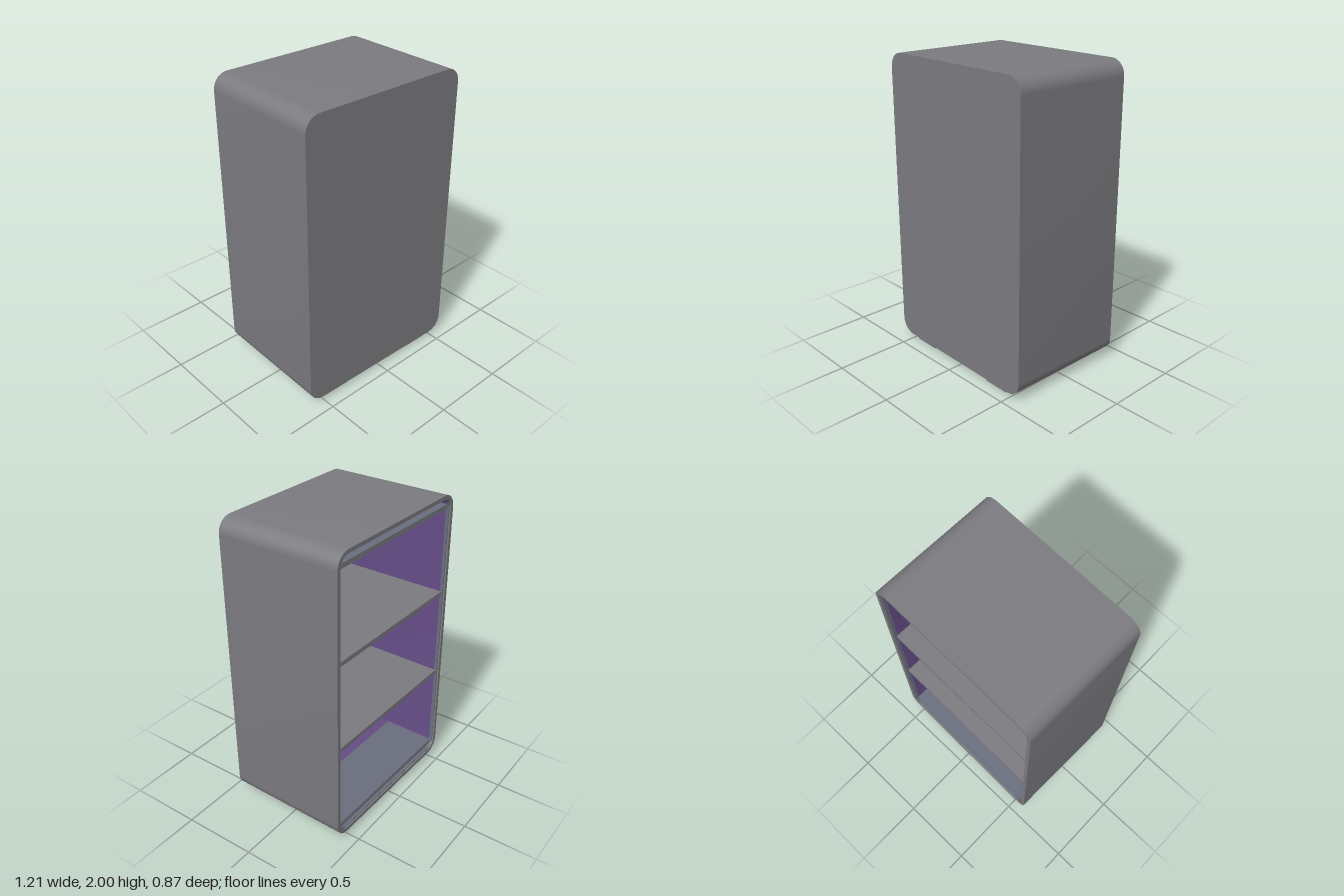
import * as THREE from 'three';
import { toCreasedNormals } from 'three/addons/utils/BufferGeometryUtils.js';

const W = 1.19, D = 0.845, Y0 = 0.03, Y1 = 2.0, R = 0.1;

// Rounded rectangle of the cabinet outline, shrunk by an inset
function outline(inset, Type = THREE.Shape) {
  const a = W / 2 - inset, b = Y0 + inset, t = Y1 - inset, r = R - inset;
  const s = new Type();
  s.moveTo(-a + r, b);
  s.lineTo(a - r, b);
  s.absarc(a - r, b + r, r, -Math.PI / 2, 0, false);
  s.lineTo(a, t - r);
  s.absarc(a - r, t - r, r, 0, Math.PI / 2, false);
  s.lineTo(-a + r, t);
  s.absarc(-a + r, t - r, r, Math.PI / 2, Math.PI, false);
  s.lineTo(-a, b + r);
  s.absarc(-a + r, b + r, r, Math.PI, Math.PI * 1.5, false);
  return s;
}

export function createModel() {
  const mat = (name, color) => {
    const m = new THREE.MeshStandardMaterial({ color });
    m.name = name;
    return m;
  };
  const grey = mat('grey', 0x7b7a7f);
  const purple = mat('purple', 0x644c85);
  const blue = mat('blueGrey', 0x686d7d);

  const model = new THREE.Group();
  model.name = 'cabinet';
  const body = new THREE.Group();
  body.name = 'body';
  body.rotation.y = -0.021; // the cabinet stands slightly turned
  model.add(body);

  const add = (name, geometry, material) => {
    const mesh = new THREE.Mesh(geometry, material);
    mesh.name = name;
    body.add(mesh);
    return mesh;
  };
  // Slab or ring following the outline, from z0 to z1
  const slab = (name, material, outer, inner, z0, z1) => {
    const shape = outline(outer);
    if (inner !== null) shape.holes.push(outline(inner, THREE.Path));
    const g = new THREE.ExtrudeGeometry(shape, { depth: z1 - z0, bevelEnabled: false, curveSegments: 12 });
    g.translate(0, 0, z0);
    return add(name, toCreasedNormals(g, 0.5), material);
  };
  const box = (name, material, x0, x1, y0, y1, z0, z1) => {
    const g = new THREE.BoxGeometry(x1 - x0, y1 - y0, z1 - z0);
    g.translate((x0 + x1) / 2, (y0 + y1) / 2, (z0 + z1) / 2);
    return add(name, g, material);
  };

  // Outer shell, open at the back, and the closed front
  slab('shell', grey, 0, 0.025, -D / 2, 0.4);
  slab('frontPanel', grey, 0, null, 0.4, D / 2);

  // Inner lining and the lip around the opening
  slab('lining', purple, 0.0245, 0.031, -0.39, 0.395);
  slab('liningFront', purple, 0.0245, null, 0.39, 0.399);
  slab('openingLip', blue, 0.0245, 0.031, -0.412, -0.39);

  // Two middle shelves
  const half = 0.566, back = -0.4, front = 0.39, split = -0.03;
  for (const top of [0.71, 1.32]) box('shelf', grey, -half, half, top - 0.03, top, back, front);

  // Floor and ceiling boards, each with a grey-edged rear half and a purple front half
  const rear = [grey, grey, blue, blue, grey, grey];
  for (const [name, top] of [['floorBoard', 0.108], ['ceilingBoard', 1.922]]) {
    box(name + 'Rear', rear, -half, half, top - 0.03, top, back, split);
    box(name + 'Front', purple, -half, half, top - 0.03, top, split, front);
  }

  // Two runners under the base
  box('leftRunner', [blue, grey, grey, grey, grey, blue], 0.27, 0.455, 0, Y0 + 0.003, -0.4, 0.4);
  box('rightRunner', [grey, grey, grey, grey, blue, blue], -0.455, -0.27, 0, Y0 + 0.003, -0.4, 0.4);

  return model;
}
